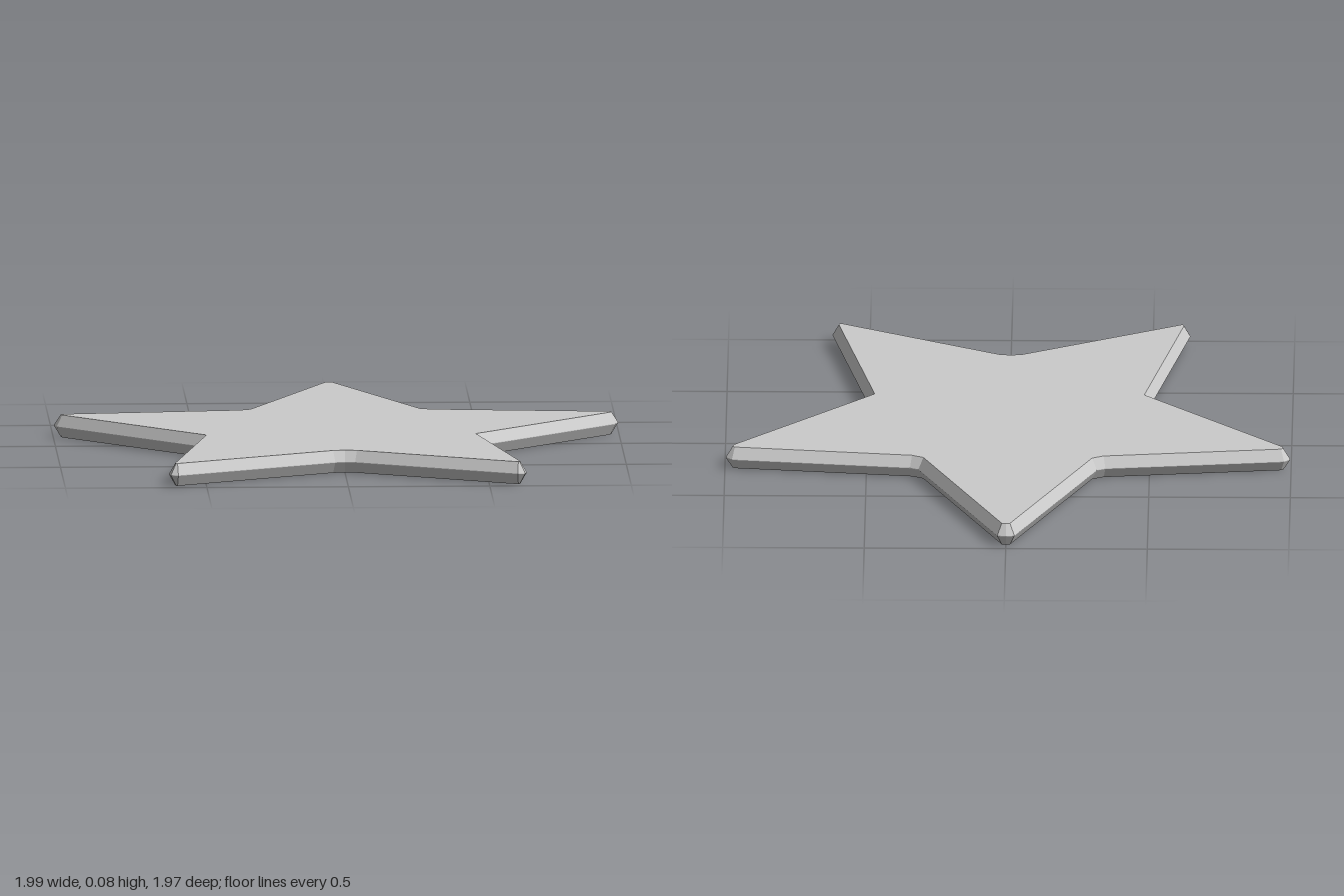
import * as THREE from 'three';

export function createModel() {
  const group = new THREE.Group();
  group.name = 'star';

  // Left half of the widest outline as [x, z], from the back tip to the front notch
  const half = [
    [0, -0.985], [0.03, -0.978],                                // back tip
    [0.315, -0.345], [0.345, -0.33],                            // back notch
    [0.975, -0.257], [0.997, -0.235], [0.988, -0.2],            // side tip
    [0.5, 0.288],                                               // side notch
    [0.632, 0.945], [0.626, 0.973], [0.6, 0.981],               // front tip
    [0.035, 0.687], [0, 0.681],                                 // front notch
  ];
  const mirrored = half.slice(1, -1).reverse().map(([x, z]) => [-x, z]);
  const outline = [...half, ...mirrored].map(([x, z]) => new THREE.Vector2(x, -z));

  // Thin plate whose rim slopes in to both faces from a mid-height ridge
  const ridge = 0.002, thickness = 0.08, inset = 0.022;
  const slope = (thickness - ridge) / 2;
  const geometry = new THREE.ExtrudeGeometry(new THREE.Shape(outline), {
    depth: ridge,
    bevelThickness: slope,
    bevelSize: inset,
    bevelOffset: -inset,
    bevelSegments: 1,
  });
  geometry.rotateX(-Math.PI / 2).translate(0, slope, 0);

  const plate = new THREE.Mesh(
    geometry,
    new THREE.MeshStandardMaterial({ color: 0xcccccc, flatShading: true }),
  );
  plate.name = 'starPlate';
  group.add(plate);
  return group;
}
